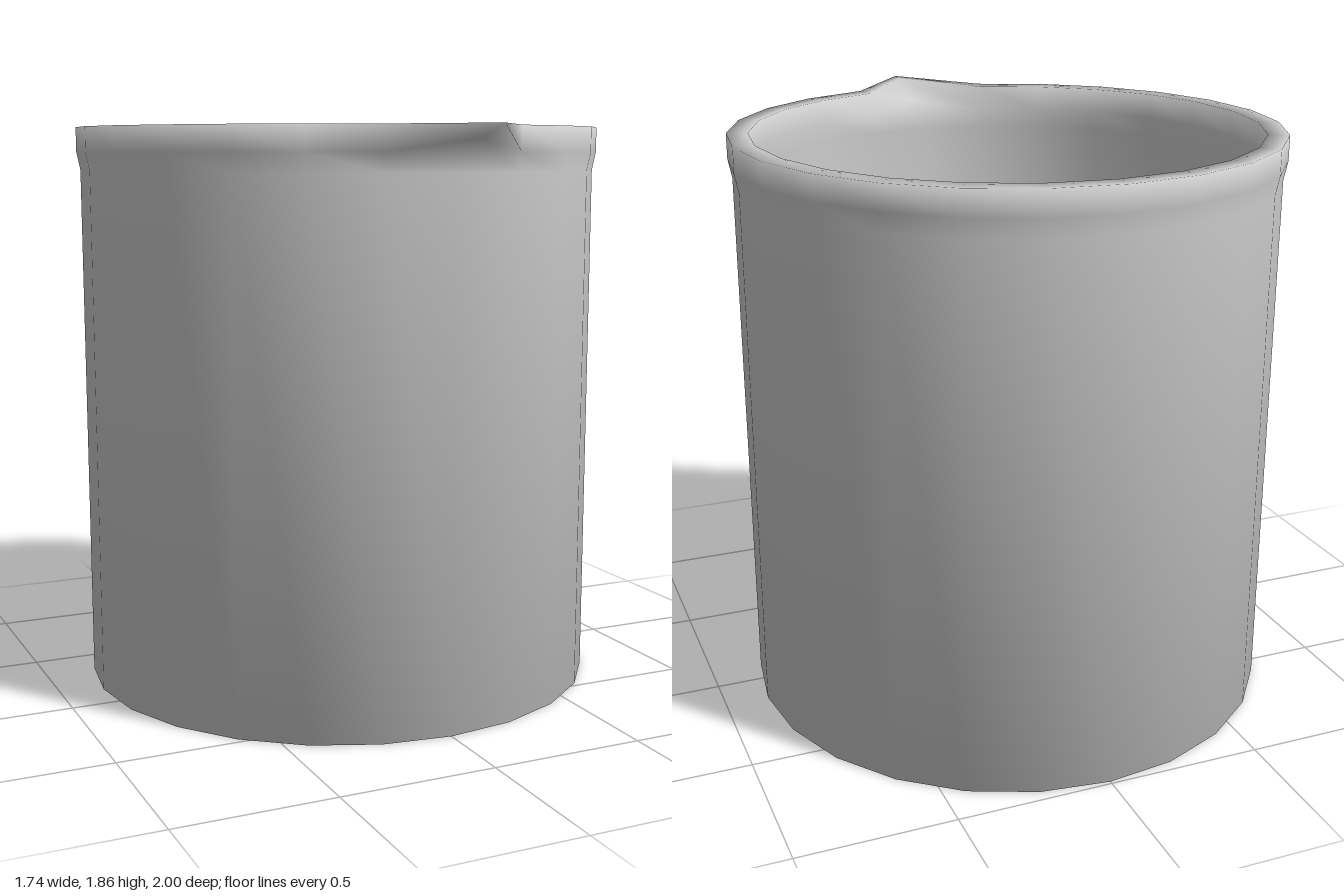
import * as THREE from 'three';
import { mergeVertices } from 'three/addons/utils/BufferGeometryUtils.js';

const SIDES = 24;
const CENTRE_Z = -0.13;

// Each profile row: radius, height, then the radius and height it takes at the spout.
const PROFILE = [
  [0, 0],
  [0.86, 0],
  [0.86, 1.72],
  [0.872, 1.78, 1.01, 1.82],
  [0.872, 1.86, 1.13, 1.86],
  [0.805, 1.86, 1.10, 1.855],
  [0.80, 1.78, 0.93, 1.80],
  [0.79, 1.72],
  [0.79, 0.06],
  [0, 0.06],
];

function beakerGeometry() {
  const points = PROFILE.map(([r, y]) => new THREE.Vector2(r, y));
  const geometry = new THREE.LatheGeometry(points, SIDES);
  const position = geometry.attributes.position;

  // Pull the front column of the rim out into the pouring spout.
  for (const column of [0, SIDES]) {
    PROFILE.forEach(([, , r, y], row) => {
      if (r !== undefined) position.setXYZ(column * PROFILE.length + row, 0, y, r);
    });
  }

  // Weld the seam and smooth across the whole shell.
  geometry.deleteAttribute('uv');
  geometry.deleteAttribute('normal');
  const welded = mergeVertices(geometry);
  welded.computeVertexNormals();
  return welded;
}

export function createModel() {
  const model = new THREE.Group();
  model.name = 'beaker';
  const shell = new THREE.Mesh(
    beakerGeometry(),
    new THREE.MeshStandardMaterial({ color: 0xcccccc })
  );
  shell.name = 'beakerShell';
  shell.position.z = CENTRE_Z;
  model.add(shell);
  return model;
}
